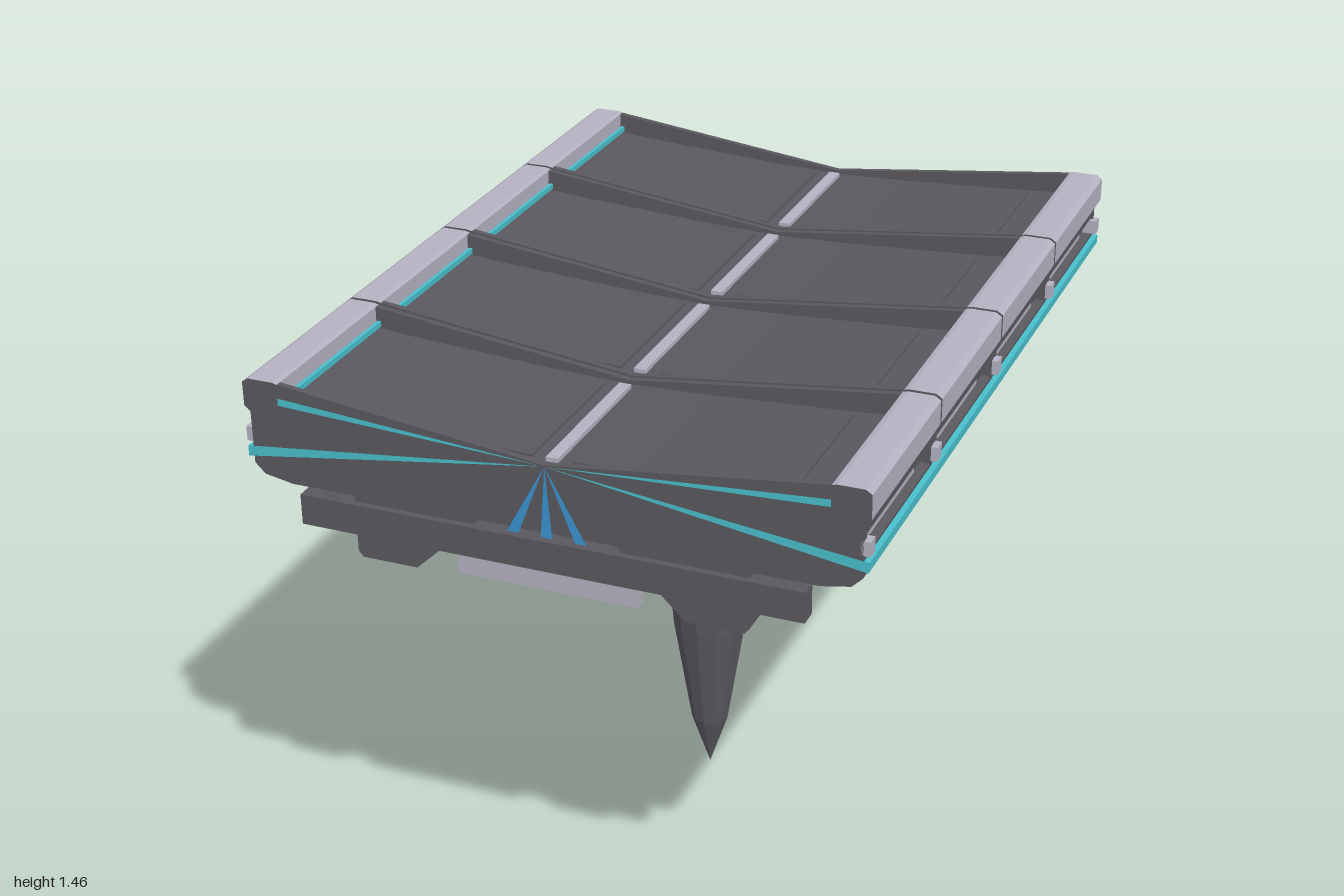
import * as THREE from 'three';

const mat = (name, color, extra = {}) => {
  const m = new THREE.MeshStandardMaterial({ color, flatShading: true, ...extra });
  m.name = name;
  return m;
};

export function createModel() {
  const dark = mat('dark grey', 0x5a585e);
  const pale = mat('pale lilac grey', 0xb5b1c2);
  const cyan = mat('cyan', 0x48bfcc);
  const blue = mat('blue', 0x3a94d2);

  const model = new THREE.Group();
  const add = (parent, name, geometry, material) => {
    const mesh = new THREE.Mesh(geometry, material);
    mesh.name = name;
    parent.add(mesh);
    return mesh;
  };
  const box = (parent, name, material, w, h, d, x, y, z) =>
    add(parent, name, new THREE.BoxGeometry(w, h, d), material).position.set(x, y, z);
  const toShape = (points) => new THREE.Shape(points.map(([x, y]) => new THREE.Vector2(x, y)));
  const flip = (points) => points.map(([x, y]) => [-x, y]).reverse();
  // Right half outline closed by its mirror image
  const both = (points) => [...points, ...flip(points)];
  const extrude = (parent, name, points, depth, z, material) => {
    const g = new THREE.ExtrudeGeometry(toShape(points), { depth, bevelEnabled: false });
    g.translate(0, 0, z - depth / 2);
    return add(parent, name, g, material);
  };

  // Cross-sections, x to the side and y up
  const lower = [[0.735, 1.25], [0.71, 1.225], [0.64, 1.212], [0.19, 1.212]];
  const ridge = both([[0.001, 1.38], [0.66, 1.459], [0.66, 1.38], [0.735, 1.38], ...lower]);
  const core = both([
    [0.001, 1.37], [0.2, 1.377], [0.56, 1.398], [0.645, 1.405], [0.658, 1.405], [0.658, 1.38],
    [0.735, 1.38], [0.735, 1.35], [0.712, 1.345], [0.712, 1.302], [0.735, 1.298], ...lower,
  ]);
  const rail = [[0.66, 1.459], [0.672, 1.462], [0.735, 1.462], [0.75, 1.452], [0.75, 1.393],
    [0.735, 1.38], [0.66, 1.38]];
  const keel = [[0.165, 1.213], [0.33, 1.056], [0.468, 1.056], [0.48, 1.07], [0.48, 1.213]];
  const inset = [[0.05, 1.372], [0.2, 1.377], [0.56, 1.398], [0.56, 1.403], [0.2, 1.382], [0.05, 1.377]];

  // Four deck sections
  const length = 0.484;
  for (const z of [-0.741, -0.247, 0.247, 0.741]) {
    const section = new THREE.Group();
    section.name = 'deckSection';
    section.position.z = z;
    model.add(section);
    extrude(section, 'deckBody', core, length - 0.03, 0, dark);
    for (const s of [-1, 1]) {
      extrude(section, 'deckRidge', ridge, 0.016, s * (length / 2 - 0.008), dark);
      const side = (points) => (s > 0 ? points : flip(points));
      extrude(section, 'edgeRail', side(rail), length, 0, [dark, pale]);
      extrude(section, 'keel', side(keel), length, 0, dark);
      extrude(section, 'deckInset', side(inset), 0.4, 0, dark);
      box(section, 'sidePanel', pale, 0.008, 0.028, 0.31, s * 0.715, 1.323, 0);
    }
    box(section, 'centreStrip', pale, 0.03, 0.012, 0.41, 0, 1.375, 0);
  }

  // Cross beams, hanging bars and side links at each joint
  for (const z of [-0.977, -0.494, 0, 0.494, 0.977]) {
    box(model, 'crossBeam', dark, 1.225, 0.076, 0.045, 0, 1.16, z);
    box(model, 'hangerBar', pale, 0.44, 0.052, 0.03, 0, 1.097, z);
    for (const s of [-1, 1]) {
      box(model, 'sideLink', pale, 0.09, 0.036, Math.abs(z) > 0.9 ? 0.03 : 0.034,
        s * 0.705, 1.322, Math.sign(z) * Math.min(Math.abs(z), 0.968));
    }
  }

  // Light strips along the deck and conduits beneath it
  for (const s of [-1, 1]) {
    box(model, 'outerLightStrip', cyan, 0.02, 0.022, 1.968, s * 0.739, 1.28, 0);
    box(model, 'innerLightStrip', cyan, 0.009, 0.014, 1.964, s * 0.652, 1.417, 0);
  }
  for (const x of [-0.13, 0, 0.13]) {
    const tube = new THREE.CylinderGeometry(0.018, 0.018, 1.95, 8).rotateX(Math.PI / 2);
    add(model, 'conduit', tube, blue).position.set(x, 1.1, 0);
  }

  // Rays painted on both ends
  for (const turn of [0, Math.PI]) {
    const rays = new THREE.Group();
    rays.name = 'endRays';
    rays.rotation.y = turn;
    model.add(rays);
    const ray = (name, points, material) =>
      add(rays, name, new THREE.ShapeGeometry(toShape(points)), material).position.z = 0.9855;
    const top = [[0, 1.378], [0.66, 1.408], [0.66, 1.426]];
    const low = [[0, 1.378], [0.748, 1.266], [0.748, 1.292]];
    ray('upperRay', top, cyan);
    ray('upperRay', flip(top), cyan);
    ray('lowerRay', low, cyan);
    ray('lowerRay', flip(low), cyan);
    for (const x of [-0.083, 0, 0.083]) {
      ray('downRay', [[0, 1.378], [x - 0.014, 1.2], [x + 0.014, 1.2]], blue);
    }
  }

  // Floating spike under the deck
  const spike = new THREE.Group();
  spike.name = 'spike';
  model.add(spike);
  const lathe = (name, points, material) => add(spike, name,
    new THREE.LatheGeometry(points.map(([x, y]) => new THREE.Vector2(x, y)), 12), material);
  lathe('spikeShaft', [[0, 0], [0.05, 0.15], [0.098, 0.45], [0.114, 0.65], [0.116, 0.77], [0.175, 0.832]], dark);
  lathe('spikeCap', [[0.175, 0.832], [0.175, 0.885], [0.147, 0.914], [0, 0.914]], pale);
  lathe('spikeBand', [[0.108, 0.655], [0.118, 0.655], [0.118, 0.71], [0.108, 0.71]], blue);

  return model;
}
